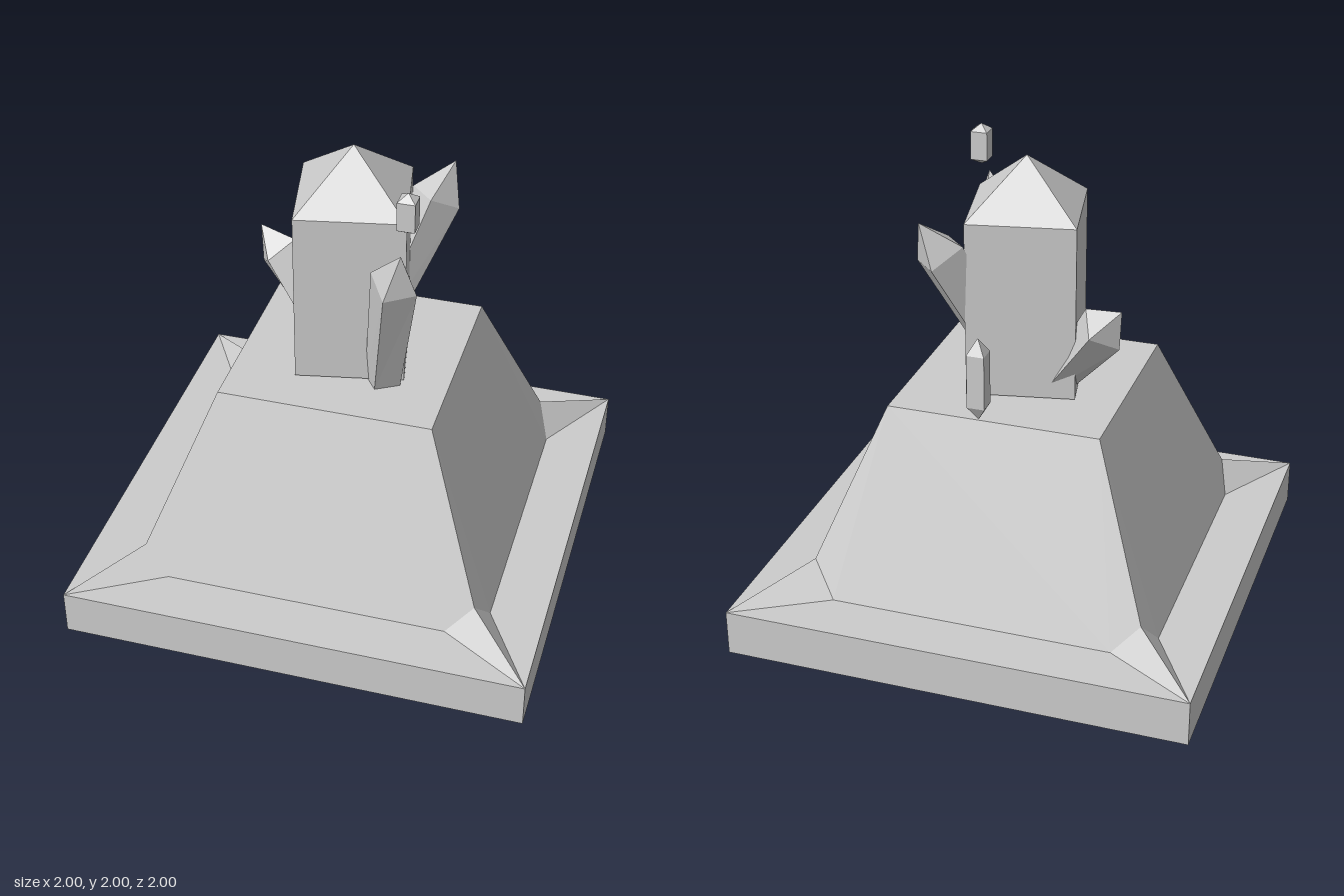
import * as THREE from 'three';

const material = new THREE.MeshStandardMaterial({ color: 0xcccccc, flatShading: true });
const V = (x, y, z) => new THREE.Vector3(x, y, z);

function addMesh(parent, name, geometry) {
  const mesh = new THREE.Mesh(geometry, material);
  mesh.name = name;
  parent.add(mesh);
  return mesh;
}

// Faceted geometry from corner polygons (counter-clockwise from outside)
function facets(polygons) {
  const pos = [];
  for (const p of polygons) {
    for (let i = 1; i < p.length - 1; i++) {
      if (new THREE.Triangle(p[0], p[i], p[i + 1]).getArea() < 1e-8) continue;
      for (const v of [p[0], p[i], p[i + 1]]) pos.push(v.x, v.y, v.z);
    }
  }
  const g = new THREE.BufferGeometry();
  g.setAttribute('position', new THREE.Float32BufferAttribute(pos, 3));
  g.computeVertexNormals();
  return g;
}

// Joins four-cornered rings from bottom to top and closes both ends
function loft(rings) {
  const polys = [[...rings[0]].reverse(), rings[rings.length - 1]];
  for (let r = 0; r < rings.length - 1; r++) {
    for (let i = 0; i < 4; i++) {
      const j = (i + 1) % 4, a = rings[r], b = rings[r + 1];
      polys.push([a[i], a[j], b[j]], [a[i], b[j], b[i]]);
    }
  }
  return facets(polys);
}

// Horizontal square ring whose first corner is (x, z) from the axis
const squareRing = (y, x, z, cx = 0, cz = 0) =>
  [[x, z], [z, -x], [-x, -z], [-z, x]].map(([a, b]) => V(cx + a, y, cz + b));

// Leaning crystal: shoulder ring, sharp tip, narrower foot
function leaningCrystal(foot, shoulder, tip, taper) {
  const ring = shoulder.map((p) => V(...p));
  const centre = ring.reduce((s, p) => s.add(p), V(0, 0, 0)).divideScalar(4);
  const base = ring.map((p) =>
    V(foot[0] + (p.x - centre.x) * taper, foot[1], foot[2] + (p.z - centre.z) * taper));
  return loft([base, ring, Array(4).fill(V(...tip))]);
}

// Tapered pedestal with a small spur running out to each slab corner
function pedestalGeometry() {
  const corners = [0, 1, 2, 3].map((k) => {
    const at = (x, y, z) => V(x, y, z).applyAxisAngle(V(0, 1, 0), k * Math.PI / 2);
    return {
      top: at(0.46, 1, 0.46),
      a: at(0.61, 0.2, 0.77),
      b: at(0.77, 0.2, 0.61),
      tip: at(1, 0.2, 1),
      ridge: k === 1 ? V(0.715, 0.345, -0.7) : at(0.723, 0.32, 0.723),
    };
  });
  const polys = [corners.map((c) => c.top)];
  corners.forEach((c, i) => {
    const n = corners[(i + 1) % 4];
    polys.push([c.top, c.b, n.a, n.top]);
    polys.push([c.top, c.a, c.ridge], [c.top, c.ridge, c.b]);
    polys.push([c.ridge, c.a, c.tip], [c.ridge, c.tip, c.b]);
  });
  return facets(polys);
}

// Square slab with a small socket in its underside
function slabGeometry() {
  const square = (h) => [[-h, -h], [h, -h], [h, h], [-h, h]].map(([x, y]) => new THREE.Vector2(x, y));
  const shape = new THREE.Shape(square(1));
  shape.holes.push(new THREE.Path(square(0.075)));
  return new THREE.ExtrudeGeometry(shape, { depth: 0.2, bevelEnabled: false }).rotateX(-Math.PI / 2);
}

export function createModel() {
  const group = new THREE.Group();
  group.name = 'crystalPedestal';

  addMesh(group, 'baseSlab', slabGeometry());
  addMesh(group, 'socketCeiling', new THREE.PlaneGeometry(0.15, 0.15).rotateX(Math.PI / 2)).position.y = 0.195;
  addMesh(group, 'pedestal', pedestalGeometry());

  // Large upright crystal
  addMesh(group, 'mainCrystal', loft([
    squareRing(1.01, 0.27, 0.18), squareRing(1.775, 0.27, 0.18), squareRing(2, 0, 0),
  ]));

  // Three crystals leaning out of the main one
  addMesh(group, 'frontLeaningCrystal', leaningCrystal([0.18, 1, 0.19],
    [[0.24, 1.56, 0.43], [0.36, 1.57, 0.36], [0.28, 1.63, 0.25], [0.16, 1.62, 0.32]],
    [0.3, 1.76, 0.39], 0.8));
  addMesh(group, 'backLeaningCrystal', leaningCrystal([0.05, 1, -0.05],
    [[0.38, 1.6, -0.28], [0.28, 1.6, -0.38], [0.18, 1.68, -0.28], [0.28, 1.68, -0.18]],
    [0.345, 1.79, -0.345], 0.75));
  addMesh(group, 'sideLeaningCrystal', leaningCrystal([-0.14, 1, -0.08],
    [[-0.395, 1.345, -0.05], [-0.3, 1.415, -0.14], [-0.35, 1.335, -0.26], [-0.455, 1.265, -0.17]],
    [-0.465, 1.44, -0.18], 0.95));

  // Two small floating shards, pointed at both ends
  const shards = [
    ['upperShard', 0.305, 0.305, [1.82, 1.845, 1.97, 2]],
    ['rearShard', 0, -0.615, [1.093, 1.157, 1.387, 1.453]],
  ];
  for (const [name, x, z, ys] of shards) {
    addMesh(group, name, loft(ys.map((y, i) => {
      const h = i === 0 || i === 3 ? 0 : 0.037;
      return squareRing(y, h, h, x, z);
    })));
  }
  return group;
}
